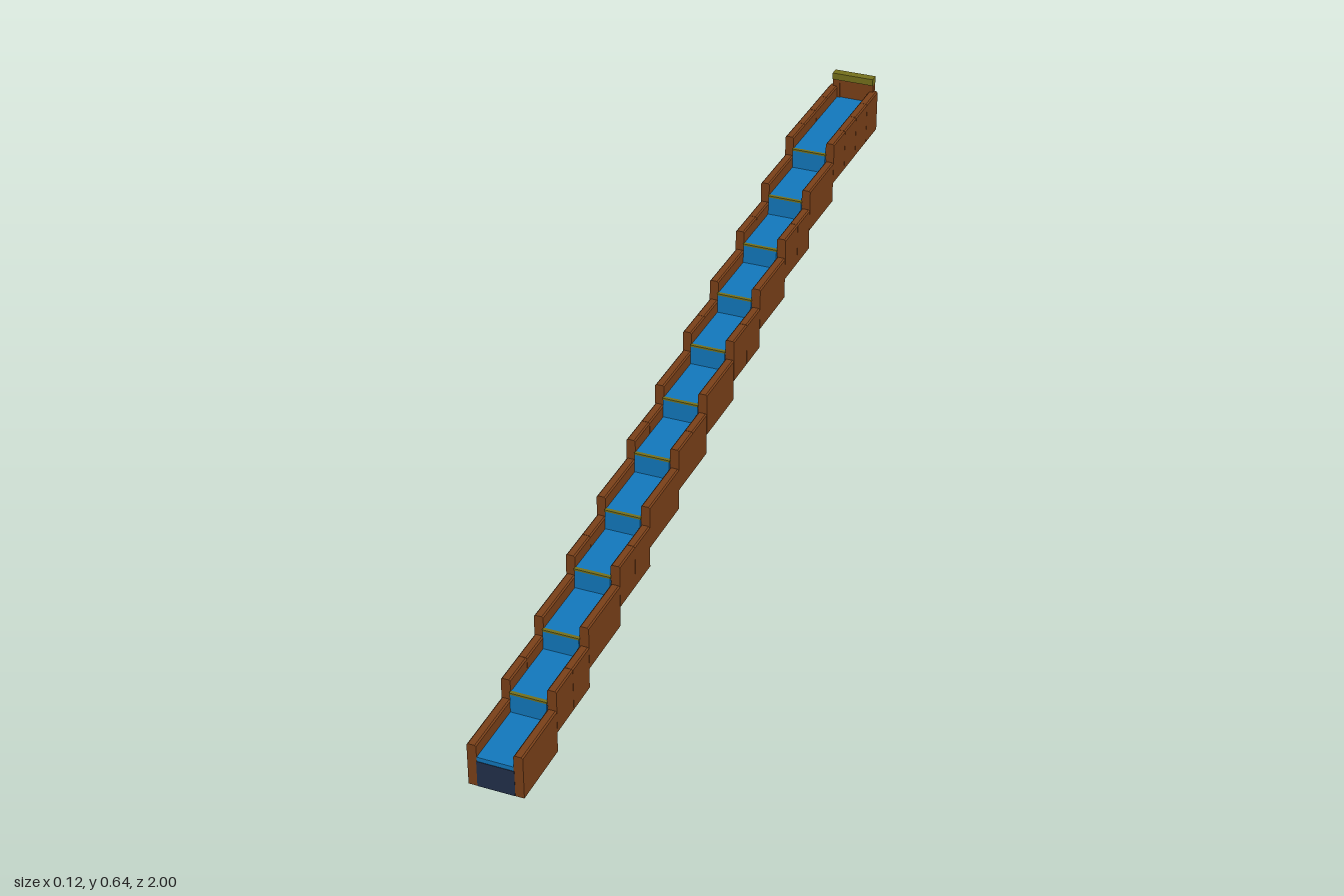
import * as THREE from 'three';

const mat = (color) => new THREE.MeshStandardMaterial({ color });
const stone = mat(0x7a4018), water = mat(0x1278bc), bed = mat(0x22304a), trim = mat(0x75701c);

// Box given by its extents on each axis
function box(parent, name, material, [x0, x1], [y0, y1], [z0, z1]) {
  const mesh = new THREE.Mesh(new THREE.BoxGeometry(x1 - x0, y1 - y0, z1 - z0), material);
  mesh.position.set((x0 + x1) / 2, (y0 + y1) / 2, (z0 + z1) / 2);
  mesh.name = name;
  parent.add(mesh);
}

// Side wall block with a small chamfer along its top edges
function wallBlock(parent, name, side, y, z0, z1) {
  const c = 0.003, w = 0.01, h = 0.098;
  const s = new THREE.Shape();
  s.moveTo(-w, 0);
  s.lineTo(w, 0);
  s.lineTo(w, h - c);
  s.lineTo(w - c, h);
  s.lineTo(c - w, h);
  s.lineTo(-w, h - c);
  const geo = new THREE.ExtrudeGeometry(s, { depth: z1 - z0, bevelEnabled: false });
  const mesh = new THREE.Mesh(geo, stone);
  mesh.position.set(side * 0.049, y, z0);
  mesh.name = name;
  parent.add(mesh);
}

export function createModel() {
  const model = new THREE.Group();
  model.name = 'steppedWaterChannel';
  const steps = 12, run = 0.1535, rise = 0.0459, back = -0.992;
  const gap = 0.001;

  for (let i = 0; i < steps; i++) {
    const step = new THREE.Group();
    step.name = 'step' + (i + 1);
    model.add(step);
    const last = i === steps - 1;
    const y = i * rise, zFront = 1 - i * run, zBack = last ? back : zFront - run;

    // Channel floor and the water lying on it
    box(step, 'channelFloor', bed, [-0.04, 0.04], [y, y + 0.06], [zBack, zFront]);
    box(step, 'water', water, [-0.039, 0.039], [y + 0.06, y + 0.07], [zBack, zFront - 0.001]);

    // Falling sheet and thin lip at the edge of each raised step
    if (i > 0) {
      box(step, 'waterfall', water, [-0.039, 0.039], [y + 0.07 - rise, y + 0.068], [zFront, zFront + 0.004]);
      box(step, 'stepLip', trim, [-0.04, 0.04], [y + 0.067, y + 0.071], [zFront - 0.003, zFront + 0.005]);
    }

    // Walls split into blocks: four on the long top landing
    const blocks = last ? 4 : i % 2 ? 2 : 1;
    const len = (zFront - zBack) / blocks;
    for (const side of [-1, 1]) {
      for (let k = 0; k < blocks; k++) {
        const z = zBack + k * len;
        wallBlock(step, side > 0 ? 'leftWallBlock' : 'rightWallBlock', side, y, z + gap / 2, z + len - gap / 2);
      }
    }
  }

  // Sluice gate closing the upper end
  const gate = new THREE.Group();
  gate.name = 'gate';
  model.add(gate);
  box(gate, 'gatePanel', stone, [-0.034, 0.034], [0.565, 0.621], [-0.994, -0.986]);
  for (const side of [-1, 1]) {
    const x = side * 0.0415;
    box(gate, 'gatePost', stone, [x - 0.0085, x + 0.0085], [0.565, 0.621], [-0.997, -0.983]);
  }
  box(gate, 'gateCap', trim, [-0.05, 0.05], [0.621, 0.637], [-1, -0.979]);
  return model;
}
